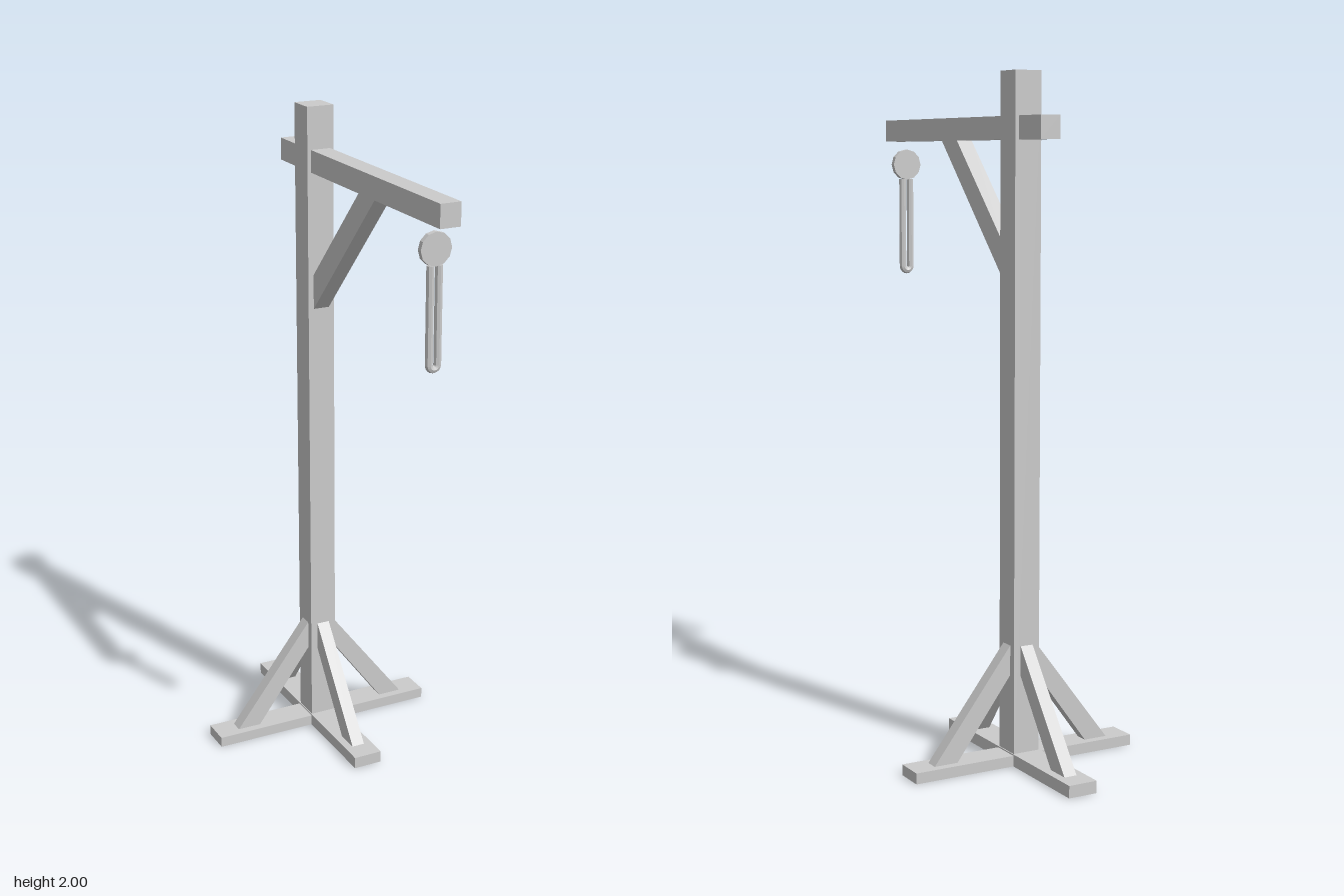
import * as THREE from 'three';

const material = new THREE.MeshStandardMaterial({ color: 0xcccccc, flatShading: true });
const POST_Z = -0.22;

function add(parent, name, geometry, x = 0, y = 0, z = 0) {
  const mesh = new THREE.Mesh(geometry, material);
  mesh.name = name;
  mesh.position.set(x, y, z);
  parent.add(mesh);
  return mesh;
}

// Flat plank cut to an outline, centred on its thickness
function plank(points, thickness) {
  const shape = new THREE.Shape(points.map(([x, y]) => new THREE.Vector2(x, y)));
  return new THREE.ExtrudeGeometry(shape, { depth: thickness, bevelEnabled: false })
    .translate(0, 0, -thickness / 2);
}

export function createModel() {
  const group = new THREE.Group();
  group.name = 'hoist';

  // Crossed feet
  add(group, 'footAcross', new THREE.BoxGeometry(0.724, 0.032, 0.09), 0, 0.016, POST_Z);
  add(group, 'footAlong', new THREE.BoxGeometry(0.09, 0.036, 0.706), 0, 0.018, POST_Z);

  // Upright post
  add(group, 'post', new THREE.BoxGeometry(0.084, 1.98, 0.084), 0, 1.01, POST_Z);

  // Four diagonal struts around the foot of the post
  const strut = plank([[0.292, 0.03], [0.036, 0.364], [0.036, 0.276], [0.218, 0.03]], 0.04);
  for (let i = 0; i < 4; i++) {
    add(group, 'footStrut', strut, 0, 0, POST_Z).rotation.y = i * Math.PI / 2;
  }

  // Overhanging beam and its brace
  add(group, 'beam', new THREE.BoxGeometry(0.062, 0.066, 0.956), 0, 1.842, 0.096);
  const brace = plank([[0.21, 1.812], [0.115, 1.812], [-0.18, 1.5], [-0.18, 1.396]], 0.05);
  add(group, 'beamBrace', brace).rotation.y = -Math.PI / 2;

  // Pulley wheel and hanging rope loop
  const pulley = new THREE.Group();
  pulley.name = 'pulley';
  pulley.position.z = 0.496;
  group.add(pulley);
  add(pulley, 'wheel', new THREE.CylinderGeometry(0.047, 0.047, 0.016, 12).rotateX(Math.PI / 2), 0, 1.737, 0);
  for (const side of [-1, 1]) {
    add(pulley, 'rope', new THREE.CylinderGeometry(0.011, 0.011, 0.275, 8), side * 0.013, 1.555, 0);
  }
  add(pulley, 'ropeLoop', new THREE.TorusGeometry(0.013, 0.011, 8, 8, Math.PI).rotateZ(Math.PI), 0, 1.418, 0);

  return group;
}
